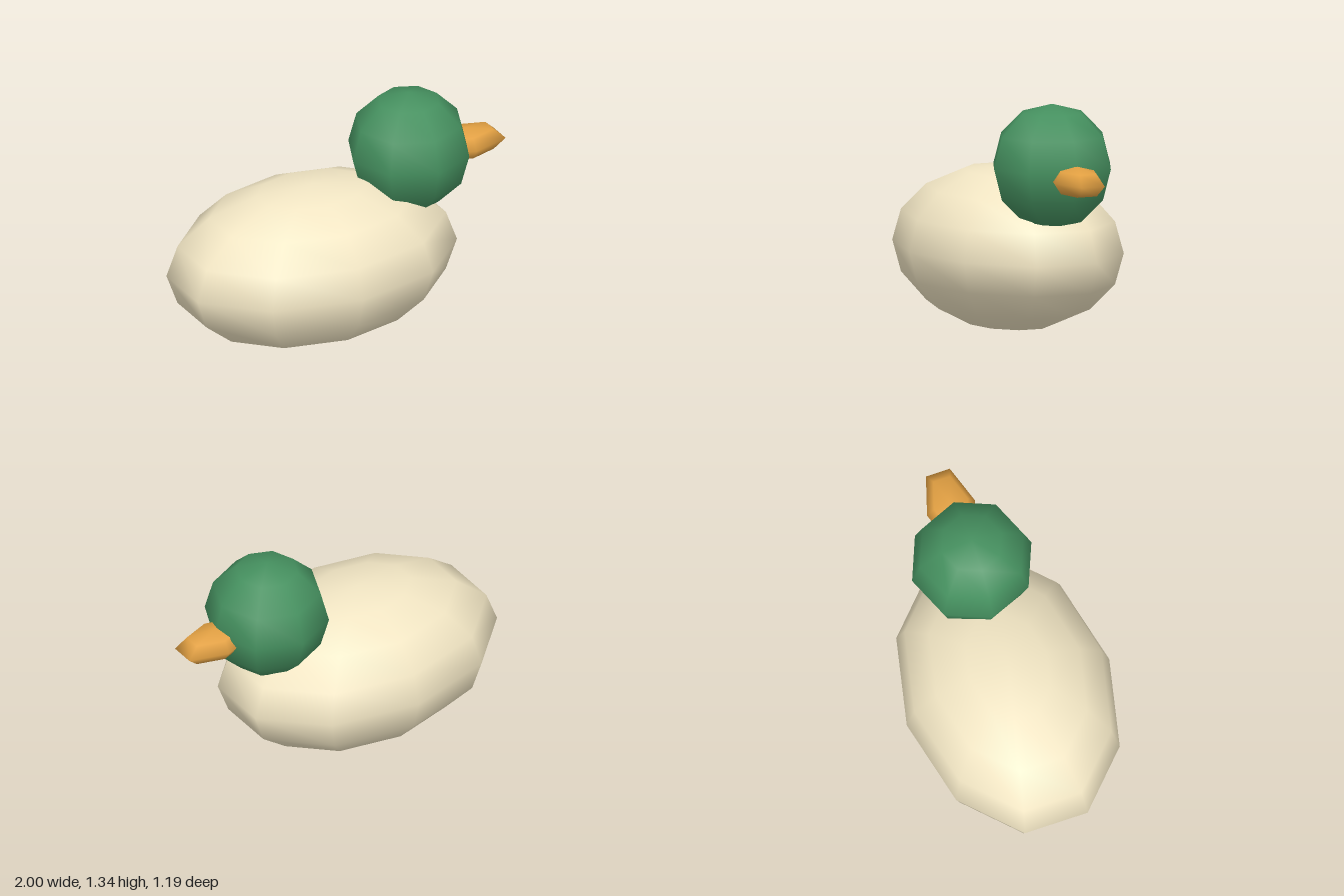
import * as THREE from 'three';

// Low-poly ellipsoid with smooth normals; `turn` spins the segments about the vertical
function ellipsoid(name, color, segments, rings, turn, radii, position) {
  const geometry = new THREE.SphereGeometry(1, segments, rings);
  geometry.rotateY(turn);
  geometry.scale(...radii);
  const mesh = new THREE.Mesh(geometry, new THREE.MeshStandardMaterial({ color }));
  mesh.name = name;
  mesh.position.set(...position);
  return mesh;
}

export function createModel() {
  const duck = new THREE.Group();
  duck.name = 'duck';
  const quarter = Math.PI / 2;
  duck.add(
    // Long body with flat facets at breast and tail
    ellipsoid('body', 0xf2e6c4, 10, 8, quarter, [0.858, 0.46, 0.594], [-0.184, 0.465, 0]),
    // Round head
    ellipsoid('head', 0x45905f, 8, 6, 0, [0.35, 0.35, 0.35], [0.428, 0.995, 0]),
    // Blunt beak with a straight front edge
    ellipsoid('beak', 0xe2a042, 6, 4, quarter, [0.254, 0.087, 0.14], [0.78, 0.952, 0]),
  );
  return duck;
}
